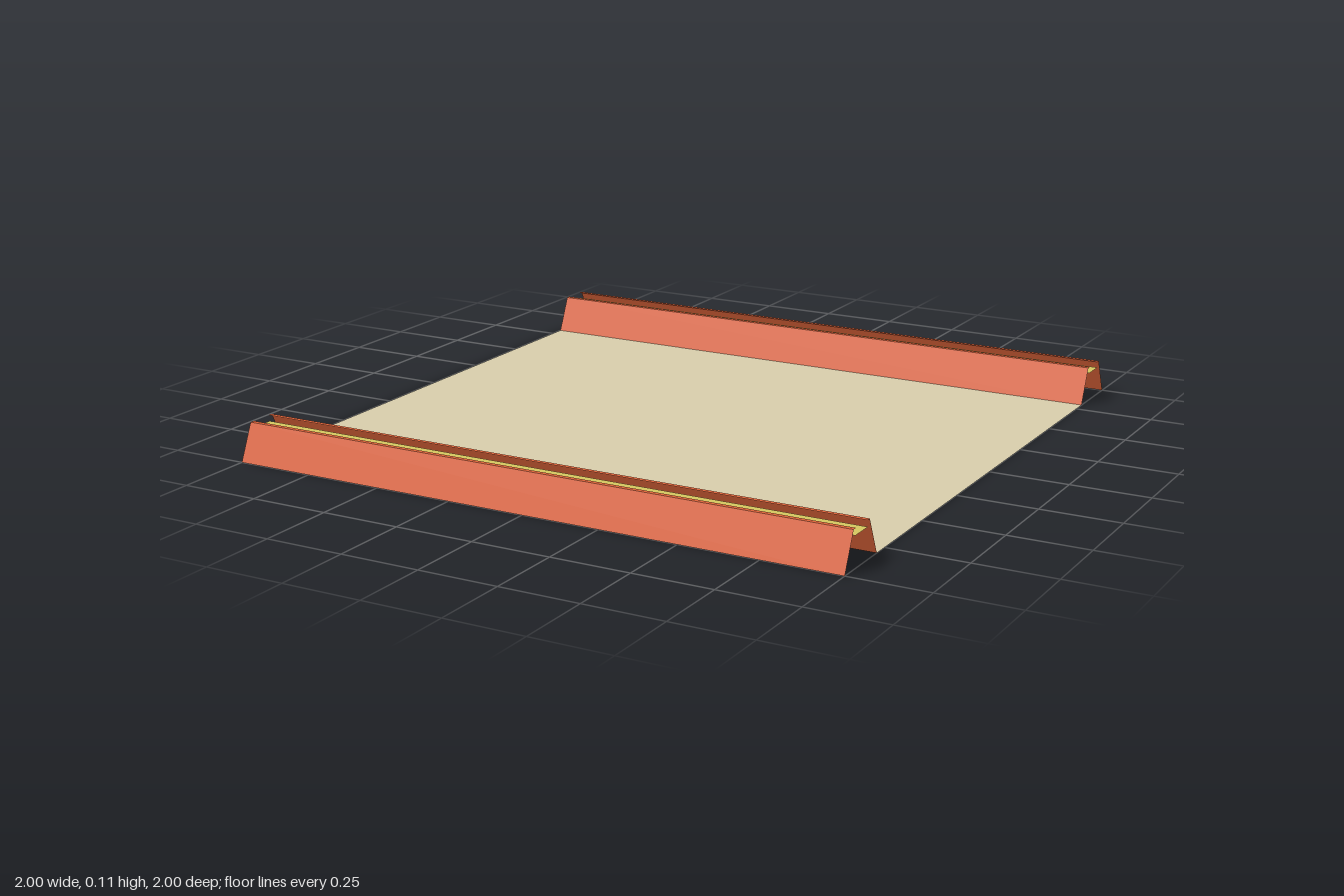
import * as THREE from 'three';

const LENGTH = 2;
const RIB_HEIGHT = 0.113;

const material = (name, color) => {
  const m = new THREE.MeshStandardMaterial({ color, side: THREE.DoubleSide });
  m.name = name;
  return m;
};

// Thin open sheet: sweeps a [z, y] profile along x, one flat face per segment
function sheet(name, profile, mat) {
  const x = LENGTH / 2;
  const positions = [];
  for (let i = 0; i < profile.length - 1; i++) {
    const [z0, y0] = profile[i];
    const [z1, y1] = profile[i + 1];
    positions.push(
      -x, y0, z0, x, y1, z1, x, y0, z0,
      -x, y0, z0, -x, y1, z1, x, y1, z1
    );
  }
  const geometry = new THREE.BufferGeometry();
  geometry.setAttribute('position', new THREE.Float32BufferAttribute(positions, 3));
  // Profiles run from -z to +z, so reverse the corners to face outward
  const p = geometry.attributes.position;
  for (let t = 0; t < p.count; t += 3) {
    const b = new THREE.Vector3().fromBufferAttribute(p, t + 1);
    const c = new THREE.Vector3().fromBufferAttribute(p, t + 2);
    p.setXYZ(t + 1, c.x, c.y, c.z);
    p.setXYZ(t + 2, b.x, b.y, b.z);
  }
  geometry.computeVertexNormals();
  const mesh = new THREE.Mesh(geometry, mat);
  mesh.name = name;
  return mesh;
}

// Hollow rib with sloped sides, narrow lips and a recessed strip between them
function rib(name, orange, yellow) {
  const group = new THREE.Group();
  group.name = name;
  group.add(
    sheet('backSlopeAndLip', [[-0.1, 0], [-0.05, RIB_HEIGHT], [-0.035, RIB_HEIGHT]], orange),
    sheet('frontSlopeAndLip', [[0.035, RIB_HEIGHT], [0.05, RIB_HEIGHT], [0.1, 0]], orange),
    sheet('recessedStrip', [[-0.039, 0.093], [0.039, 0.093]], yellow)
  );
  return group;
}

export function createModel() {
  const model = new THREE.Group();
  model.name = 'ribbedPanel';

  const beige = material('beige', 0xd9cfac);
  const orange = material('orange', 0xe0643a);
  const yellow = material('yellow', 0xd6c860);

  // Flat panel between the ribs
  model.add(sheet('panel', [[-0.8, 0], [0.8, 0]], beige));

  // Ribs along the front and back edges
  for (const [name, z] of [['frontRib', 0.9], ['backRib', -0.9]]) {
    const r = rib(name, orange, yellow);
    r.position.z = z;
    model.add(r);
  }
  return model;
}
